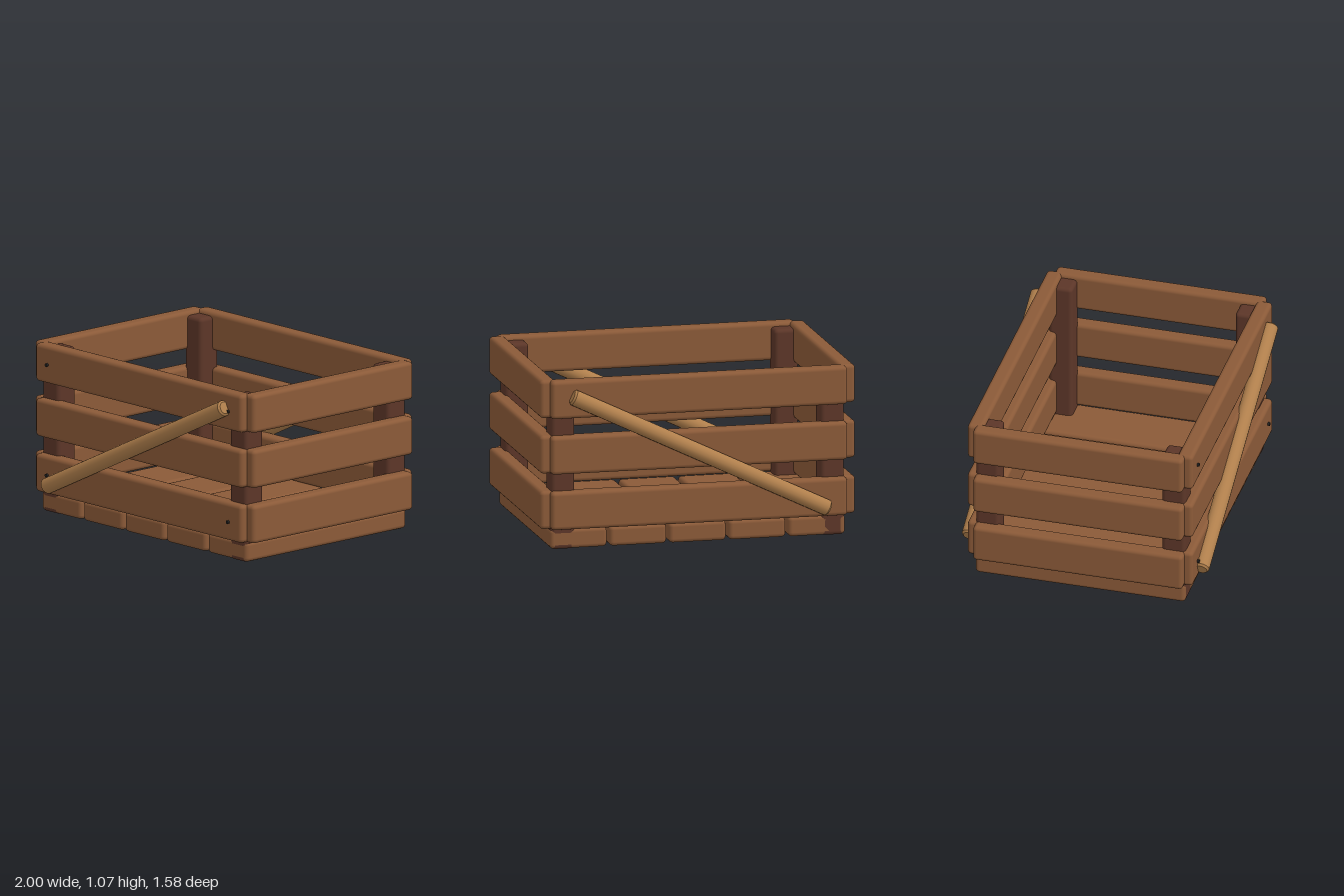
import * as THREE from 'three';
import { RoundedBoxGeometry } from 'three/addons/geometries/RoundedBoxGeometry.js';

const material = (color) => new THREE.MeshStandardMaterial({ color });

export function createModel() {
  const crate = new THREE.Group();
  crate.name = 'crate';
  const plankWood = material(0x8b5a38);
  const postWood = material(0x5c3628);
  const poleWood = material(0xb07f4c);
  const iron = material(0x222222);

  function add(name, geometry, mat, x, y, z) {
    const mesh = new THREE.Mesh(geometry, mat);
    mesh.name = name;
    mesh.position.set(x, y, z);
    crate.add(mesh);
    return mesh;
  }
  const board = (w, h, d) => new RoundedBoxGeometry(w, h, d, 2, 0.025);

  // Floor boards, running front to back
  const floorBoard = board(0.36, 0.125, 1.34);
  for (let i = -2; i <= 2; i++) add('floorBoard', floorBoard, plankWood, i * 0.378, 0.065, 0);

  // Corner posts
  const post = board(0.15, 1.045, 0.15);
  for (const sx of [-1, 1]) {
    for (const sz of [-1, 1]) add('cornerPost', post, postWood, sx * 0.855, 0.5225, sz * 0.595);
  }

  // Three rows of slats around the sides
  const longSlat = board(1.88, 0.24, 0.1);
  const endSlat = board(0.1, 0.24, 1.34);
  for (const y of [0.25, 0.6, 0.95]) {
    for (const s of [-1, 1]) {
      add('longSlat', longSlat, plankWood, 0, y, s * 0.67);
      add('endSlat', endSlat, plankWood, s * 0.95, y, 0);
    }
  }

  // Diagonal braces with chamfered ends, front and back
  const start = new THREE.Vector3(-0.815, 0.185, 0);
  const end = new THREE.Vector3(0.815, 0.975, 0);
  const along = end.clone().sub(start);
  const half = along.length() / 2;
  const r = 0.05;
  const c = 0.012;
  const profile = [
    [0, -half], [r - c, -half], [r - c, -half], [r, -half + c], [r, -half + c],
    [r, half - c], [r, half - c], [r - c, half], [r - c, half], [0, half],
  ].map(([x, y]) => new THREE.Vector2(x, y));
  const brace = new THREE.LatheGeometry(profile, 16);
  for (const s of [-1, 1]) {
    const mesh = add('diagonalBrace', brace, poleWood, 0, 0.58, s * 0.74);
    mesh.quaternion.setFromUnitVectors(new THREE.Vector3(0, 1, 0), along.clone().normalize());
  }

  // Nail heads on the front slats
  const nail = new THREE.CylinderGeometry(0.011, 0.011, 0.04, 10).rotateX(Math.PI / 2);
  for (const x of [-0.825, 0.825]) {
    for (const y of [0.25, 0.95]) add('nail', nail, iron, x, y, 0.713);
  }

  return crate;
}
